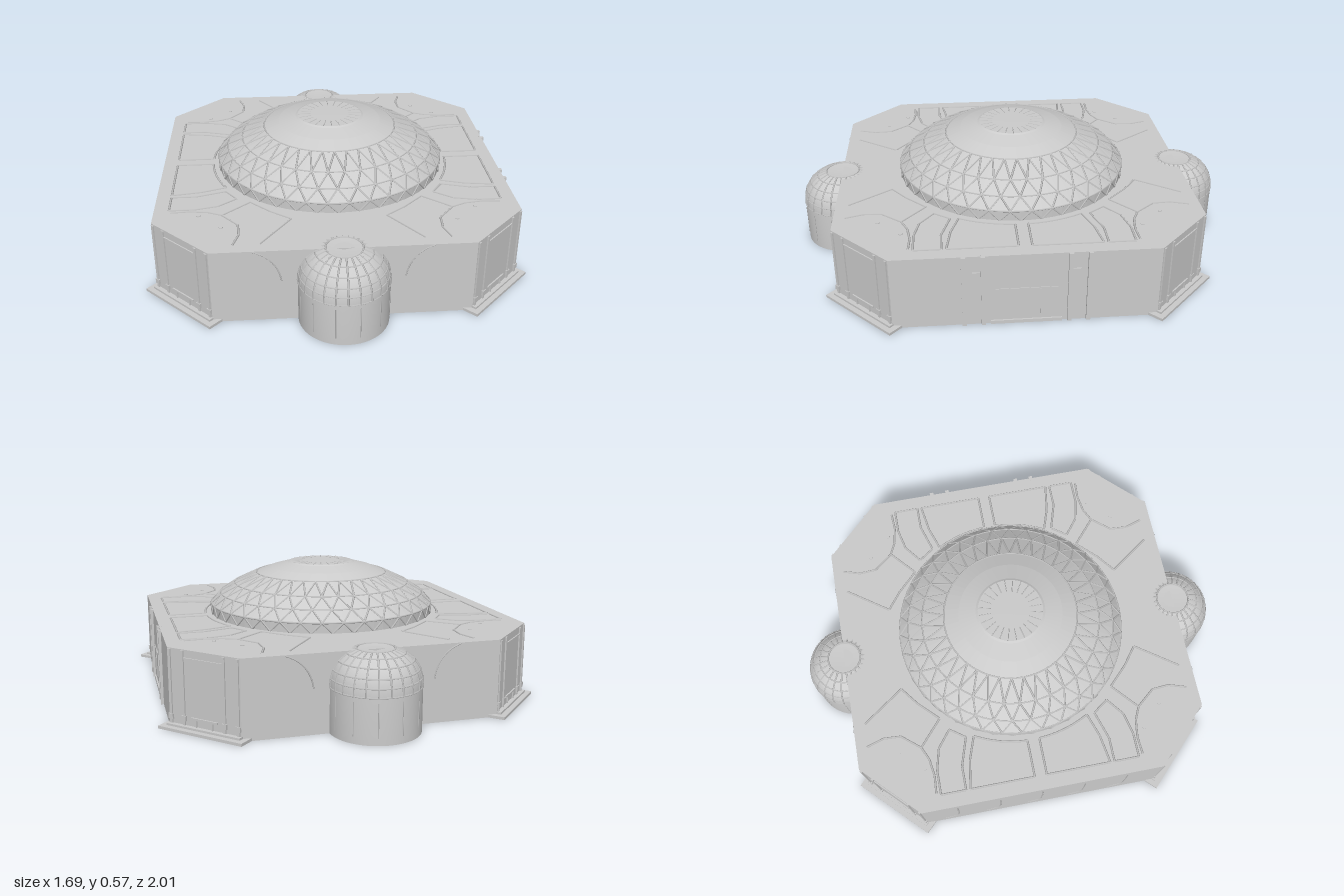
import * as THREE from 'three';
import { mergeGeometries, toCreasedNormals } from 'three/addons/utils/BufferGeometryUtils.js';

const grey = new THREE.MeshStandardMaterial({ color: 0xcccccc });
const thin = new THREE.MeshStandardMaterial({ color: 0xcccccc, side: THREE.DoubleSide });
const ROOF = 0.335;
const V = (x, y, z) => new THREE.Vector3(x, y, z);

function add(parent, name, geometry, material = grey) {
  const mesh = new THREE.Mesh(geometry, material);
  mesh.name = name;
  parent.add(mesh);
  return mesh;
}

// Straight bar between two points
const bar = (a, b, r) => new THREE.TubeGeometry(new THREE.LineCurve3(a, b), 1, r, 4, false);

// Box given by centre and size
const block = (x, y, z, w, h, d) => new THREE.BoxGeometry(w, h, d).translate(x, y, z);

// Point on a ring of a revolved profile
const ringPoint = (r, y, a) => V(r * Math.sin(a), y, r * Math.cos(a));

function lathe(profile, segments, crease) {
  const points = profile.map(([r, y]) => new THREE.Vector2(r, y));
  return toCreasedNormals(new THREE.LatheGeometry(points, segments), crease);
}

// Raised strip following a polyline on the roof, mirrored to all four quarters
function roofStrips(group, name, lines) {
  const parts = [];
  for (const sx of [-1, 1]) for (const sz of [-1, 1]) for (const line of lines) {
    for (let i = 0; i < line.length - 1; i++) {
      const [a, b] = [line[i], line[i + 1]];
      parts.push(bar(V(a[0] * sx, ROOF, a[1] * sz), V(b[0] * sx, ROOF, b[1] * sz), 0.005));
    }
  }
  add(group, name, mergeGeometries(parts), thin);
}

function arc(r, from, to, n = 6) {
  return Array.from({ length: n + 1 }, (_, i) => {
    const a = from + (to - from) * i / n;
    return [r * Math.cos(a), r * Math.sin(a)];
  });
}

function buildDome() {
  const g = new THREE.Group();
  g.name = 'mainDome';
  const N = 72, step = Math.PI * 2 / N;
  const rings = [[0.53, ROOF], [0.53, 0.38], [0.485, 0.428], [0.415, 0.472], [0.31, 0.52]];
  const crown = [[0.24, 0.546], [0.16, 0.567], [0.15, 0.572], [0.09, 0.573], [0, 0.573]];
  add(g, 'domeShell', lathe([...rings, ...crown], N, 0.03));

  // Diagonal lattice over the lower dome
  const ribs = [];
  for (let j = 0; j < rings.length - 1; j++) {
    const [r0, y0] = rings[j], [r1, y1] = rings[j + 1];
    for (let i = 0; i < N; i += 2) {
      const k = i + (j % 2);
      for (const s of [-1, 1]) {
        ribs.push(bar(ringPoint(r0, y0, k * step), ringPoint(r1, y1, (k + s) * step), 0.0045));
      }
    }
  }
  add(g, 'domeLattice', mergeGeometries(ribs), thin);

  // Horizontal hoops and crown spokes
  const trim = rings.slice(1).map(([r, y]) =>
    new THREE.TorusGeometry(r, 0.004, 4, N).rotateX(Math.PI / 2).translate(0, y, 0));
  for (let i = 0; i < 24; i++) {
    const a = i * Math.PI / 12;
    trim.push(bar(ringPoint(0.09, 0.573, a), ringPoint(0.15, 0.572, a), 0.002));
  }
  add(g, 'domeHoops', mergeGeometries(trim), thin);
  return g;
}

function buildTurret() {
  const g = new THREE.Group();
  g.name = 'turret';
  const dome = [[0.19, 0.19], [0.187, 0.225], [0.177, 0.26], [0.155, 0.295], [0.12, 0.323], [0.078, 0.339]];
  add(g, 'turretShell', lathe([[0, 0], [0.19, 0], ...dome, [0.068, 0.339], [0, 0.328]], 48, 0.4));

  // Window frames around the dome, slim strips on the drum
  const frames = [], N = 24;
  for (let i = 0; i < N; i++) {
    const a = i * 2 * Math.PI / N;
    for (let j = 0; j < dome.length - 1; j++) {
      frames.push(bar(ringPoint(...dome[j], a), ringPoint(...dome[j + 1], a), 0.004));
    }
    if (i % 2) frames.push(bar(ringPoint(0.189, 0.03, a), ringPoint(0.189, 0.17, a), 0.003));
  }
  for (const [r, y] of dome) {
    frames.push(new THREE.TorusGeometry(r - 0.001, 0.004, 4, 48).rotateX(Math.PI / 2).translate(0, y, 0));
  }
  add(g, 'turretFrames', mergeGeometries(frames), thin);
  return g;
}

// Corner portal, built facing +z with its wall at z = 0
function buildCornerPortal() {
  const g = new THREE.Group();
  g.name = 'cornerPortal';
  add(g, 'portalStep', block(0, 0.006, 0, 0.41, 0.012, 0.084));
  add(g, 'portalSill', block(0, 0.016, 0.004, 0.36, 0.01, 0.03));
  const parts = [];
  for (const x of [-0.165, -0.1, 0.1, 0.165]) {
    parts.push(block(x, 0.165, 0, 0.012, 0.33, 0.012), block(x, 0.05, 0, 0.022, 0.022, 0.018));
  }
  parts.push(block(0, 0.055, 0, 0.13, 0.008, 0.012), block(0, 0.3, 0, 0.2, 0.006, 0.01));
  for (const x of [-0.04, 0.04]) parts.push(block(x, 0.03, 0, 0.006, 0.05, 0.012));
  add(g, 'portalPilasters', mergeGeometries(parts));
  return g;
}

export function createModel() {
  const model = new THREE.Group();
  model.name = 'domedHall';

  // Octagonal body
  const X = 0.795, Z = 0.81, CX = 0.545, CZ = 0.56;
  const plan = new THREE.Shape([
    [X, -CZ], [X, CZ], [CX, Z], [-CX, Z], [-X, CZ], [-X, -CZ], [-CX, -Z], [CX, -Z],
  ].map(([x, y]) => new THREE.Vector2(x, y)));
  const body = new THREE.ExtrudeGeometry(plan, { depth: ROOF, bevelEnabled: false });
  add(model, 'hallBody', body.rotateX(-Math.PI / 2));

  model.add(buildDome());

  for (const s of [1, -1]) {
    const turret = buildTurret();
    turret.position.z = s * Z;
    model.add(turret);
    for (const t of [1, -1]) {
      const portal = buildCornerPortal();
      portal.position.set(s * (X + CX) / 2, 0, t * (Z + CZ) / 2);
      portal.rotation.y = Math.atan2(s, t);
      model.add(portal);
      // Curved mouldings beside the turrets
      const curve = new THREE.QuadraticBezierCurve3(
        V(s * 0.255, 0.19, t * Z), V(s * 0.27, 0.3, t * Z), V(s * 0.37, ROOF - 0.003, t * Z));
      add(model, 'wallArc', new THREE.TubeGeometry(curve, 10, 0.003, 4), thin);
    }
  }

  // Roof panel outlines
  roofStrips(model, 'sideRoofPanels', [
    [...arc(0.56, 0.05, 0.5), [0.6, 0.305], [0.73, 0.325], [0.73, 0.028], [0.56, 0.028]],
    [[0.73, 0.345], [0.62, 0.345], [0.49, 0.305], [0.44, 0.375], [0.52, 0.437], [0.62, 0.46], [0.73, 0.46], [0.73, 0.345]],
  ]);
  roofStrips(model, 'cornerRoofPanels', [
    [[0.45, 0.76], [0.425, 0.68], [0.43, 0.6], [0.5, 0.515], [0.38, 0.41], [0.29, 0.5], [0.205, 0.565], [0.34, 0.755]],
    [[0.72, 0.48], [0.64, 0.475], [0.56, 0.487], [0.5, 0.515]],
  ]);
  const knobs = [];
  for (const sx of [-1, 1]) for (const sz of [-1, 1]) for (const [x, z] of [[0.6, 0.515], [0.5, 0.615]]) {
    knobs.push(new THREE.CylinderGeometry(0.009, 0.009, 0.006, 8).translate(x * sx, ROOF, z * sz));
  }
  add(model, 'roofKnobs', mergeGeometries(knobs));

  // Main entrance on the left wall
  const entrance = [block(X, 0.008, 0, 0.014, 0.016, 0.3)];
  for (const s of [-1, 1]) {
    for (const z of [0.18, 0.26]) entrance.push(block(X, 0.168, s * z, 0.024, 0.335, 0.018));
    entrance.push(block(X, 0.255, s * 0.2, 0.01, 0.008, 0.05));
    entrance.push(block(X, 0.1, s * 0.06, 0.006, 0.13, 0.006));
  }
  entrance.push(block(X, 0.17, 0, 0.006, 0.006, 0.26));
  add(model, 'entrance', mergeGeometries(entrance));

  // Hooked mouldings on the right wall
  for (let i = 0; i < 5; i++) {
    const z = -0.4 + i * 0.2;
    const hook = new THREE.CatmullRomCurve3([
      V(-X, 0.29, z), V(-X, 0.16, z), V(-X, 0.08, z - 0.01), V(-X, 0.045, z - 0.07)]);
    add(model, 'wallHook', new THREE.TubeGeometry(hook, 12, 0.003, 4), thin);
  }
  return model;
}
